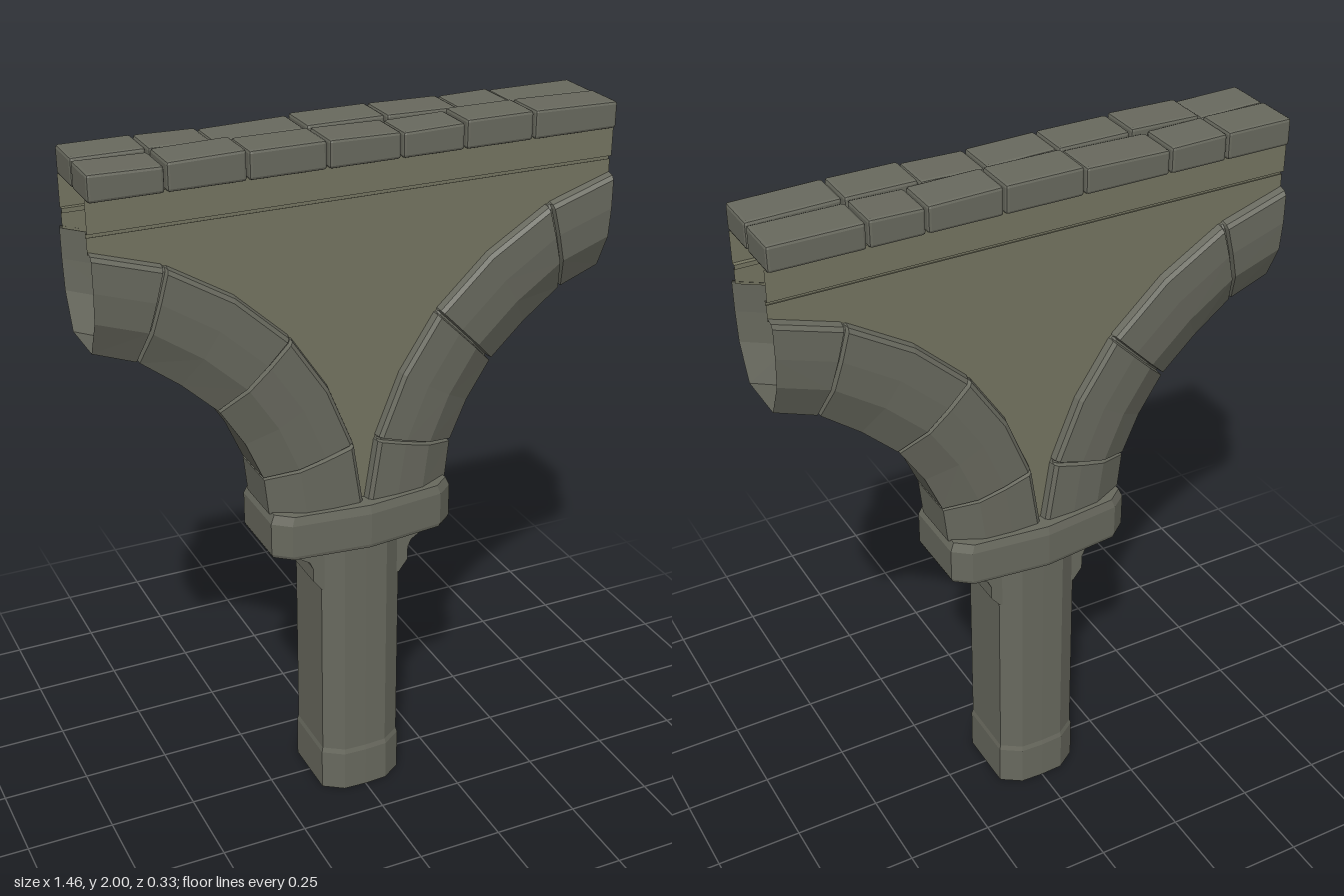
import * as THREE from 'three';
import { RoundedBoxGeometry } from 'three/addons/geometries/RoundedBoxGeometry.js';

const stone = new THREE.MeshStandardMaterial({ color: 0x68695e, flatShading: true, side: THREE.DoubleSide });
const render = new THREE.MeshStandardMaterial({ color: 0x77776a, flatShading: true, side: THREE.DoubleSide });
render.color.set(0x757561);

// Skin a row of cross-sections, each a list of [x, y, z]
function loft(rings, closed, flip = false) {
  const n = rings[0].length, index = [];
  for (let i = 0; i < rings.length - 1; i++) {
    for (let j = 0; j < (closed ? n : n - 1); j++) {
      const a = i * n + j, b = i * n + (j + 1) % n, c = a + n, d = b + n;
      index.push(...(flip ? [a, b, c, b, d, c] : [a, c, b, b, c, d]));
    }
  }
  const g = new THREE.BufferGeometry();
  g.setAttribute('position', new THREE.Float32BufferAttribute(rings.flat(2), 3));
  g.setIndex(index);
  const flat = g.toNonIndexed();
  flat.computeVertexNormals();
  return flat;
}

// Mirror a quarter plan into a closed outline
function fullPlan(quarter) {
  const half = [...quarter, ...quarter.slice().reverse().map(([x, z]) => [-x, z])];
  const pts = [...half, ...half.slice().reverse().map(([x, z]) => [x, -z])];
  return pts.filter((p, i) => {
    const q = pts[(i + 1) % pts.length];
    return Math.hypot(p[0] - q[0], p[1] - q[1]) > 1e-5;
  });
}

// Stack scaled copies of a plan: levels are [y, scale]
const stack = (plan, levels) =>
  loft(levels.map(([y, s]) => plan.map(([x, z]) => [x * s, y, z * s])), true);

export function createModel() {
  const model = new THREE.Group();
  const add = (name, geometry, material = stone) => {
    const mesh = new THREE.Mesh(geometry, material);
    mesh.name = name;
    model.add(mesh);
    return mesh;
  };

  // Hollow chamfered column with a slightly wider base
  const columnPlan = fullPlan([[0.12, 0.09], [0.065, 0.127], [0, 0.13]]);
  add('columnShaft', stack(columnPlan, [[0.13, 1], [0.84, 1]]));
  add('columnBase', stack(columnPlan, [[0, 1.03], [0.125, 1.03], [0.14, 1]]));

  // Stepped brackets under the capital
  const bracket = new THREE.Shape([
    [-0.2, 0.84], [-0.2, 0.812], [-0.185, 0.805], [-0.157, 0.787], [-0.147, 0.765], [-0.147, 0.725], [-0.12, 0.69],
    [0.12, 0.69], [0.147, 0.725], [0.147, 0.765], [0.157, 0.787], [0.185, 0.805], [0.2, 0.812], [0.2, 0.84],
  ].map(p => new THREE.Vector2(...p)));
  const bracketGeo = new THREE.ExtrudeGeometry(bracket, { depth: 0.19, bevelEnabled: false });
  bracketGeo.translate(0, 0, -0.095);
  add('brackets', bracketGeo);

  // Capital with pointed front and back
  const capPlan = fullPlan([[0.272, 0.1], [0.225, 0.138], [0, 0.163]]);
  add('capital', stack(capPlan, [[0.835, 0.01], [0.835, 0.985], [0.845, 1], [0.94, 1], [0.965, 0.96], [0.965, 0.01]]));

  // Arch ribs: outer and inner curves, joined by a chamfered section
  const outer = [[0.728, 1.795], [0.54, 1.735], [0.36, 1.625], [0.21, 1.485], [0.105, 1.325], [0.032, 1.145], [0.003, 0.96]];
  const inner = [[0.728, 1.52], [0.61, 1.475], [0.5, 1.39], [0.4, 1.295], [0.33, 1.185], [0.28, 1.07], [0.268, 0.96]];
  const half = [[0, 0.1], [0.02, 0.122], [0.06, 0.13], [0.35, 0.13], [0.65, 0.122], [1, 0.077]];
  const section = [...half, ...half.slice().reverse().map(([t, z]) => [t, -z])];
  const along = (curve, u) => {
    const i = Math.min(Math.floor(u), curve.length - 2), f = u - i;
    return curve[i].map((v, k) => v + (curve[i + 1][k] - v) * f);
  };
  const stations = [[0, 0]];
  for (let i = 1; i < 6; i++) {
    if (i % 2) stations.push([i - 0.035, 0], [i - 0.015, 1], [i + 0.015, 1], [i + 0.035, 0]);
    else stations.push([i, 0]);
  }
  stations.push([6, 0]);
  for (const side of [1, -1]) {
    const rings = stations.map(([u, groove]) => {
      const o = along(outer, u), n = along(inner, u);
      return section.map(([t, z]) => {
        const s = t * (1 - 0.05 * groove);
        return [side * (o[0] + (n[0] - o[0]) * s), o[1] + (n[1] - o[1]) * s, z - Math.sign(z) * 0.013 * groove];
      });
    });
    add(side > 0 ? 'leftArchRib' : 'rightArchRib', loft(rings, false, side < 0));
  }

  // Thin wall sheets filling the space above the ribs, with a stepped band on top
  const edge = outer.map(([x, y]) => new THREE.Vector2(x, y - 0.008));
  const wallShape = new THREE.Shape([
    new THREE.Vector2(-0.728, 1.83), ...edge.map(p => new THREE.Vector2(-p.x, p.y)),
    ...edge.slice().reverse(), new THREE.Vector2(0.728, 1.83),
  ]);
  for (const side of [1, -1]) {
    const label = side > 0 ? 'front' : 'back';
    const wall = add(label + 'Wall', new THREE.ShapeGeometry(wallShape), render);
    wall.position.z = 0.103 * side;
    if (side < 0) wall.rotation.y = Math.PI;
    const band = [[1.828, 0.103], [1.828, 0.097], [1.84, 0.097], [1.84, 0.11], [1.925, 0.11]];
    add(label + 'Band', loft(band.map(([y, z]) => [[-0.728, y, z * side], [0.728, y, z * side]]), false, side > 0), render);
  }

  // Two rows of uneven coping stones
  const rows = [
    { name: 'frontCopingStone', z: 0.066, seams: [-0.728, -0.53, -0.32, -0.108, 0.095, 0.275, 0.475, 0.728] },
    { name: 'backCopingStone', z: -0.064, seams: [-0.728, -0.53, -0.36, -0.112, 0.112, 0.32, 0.473, 0.728] },
  ];
  rows.forEach(({ name, z, seams }, r) => {
    for (let i = 0; i < seams.length - 1; i++) {
      const w = seams[i + 1] - seams[i] - 0.006;
      const h = 0.07 + 0.008 * ((i * 3 + r * 2) % 4) / 3;
      const geo = new RoundedBoxGeometry(w, h, 0.124, 1, 0.008);
      const p = geo.attributes.position;
      // Tilt each top a little
      const tilt = 0.02 * (((i * 2 + r) % 3) - 1);
      for (let k = 0; k < p.count; k++) {
        if (p.getY(k) > 0) p.setY(k, p.getY(k) + tilt * p.getX(k));
      }
      geo.computeVertexNormals();
      const block = add(name + (i + 1), geo);
      block.position.set((seams[i] + seams[i + 1]) / 2, 1.92 + h / 2, z);
    }
  });

  return model;
}
